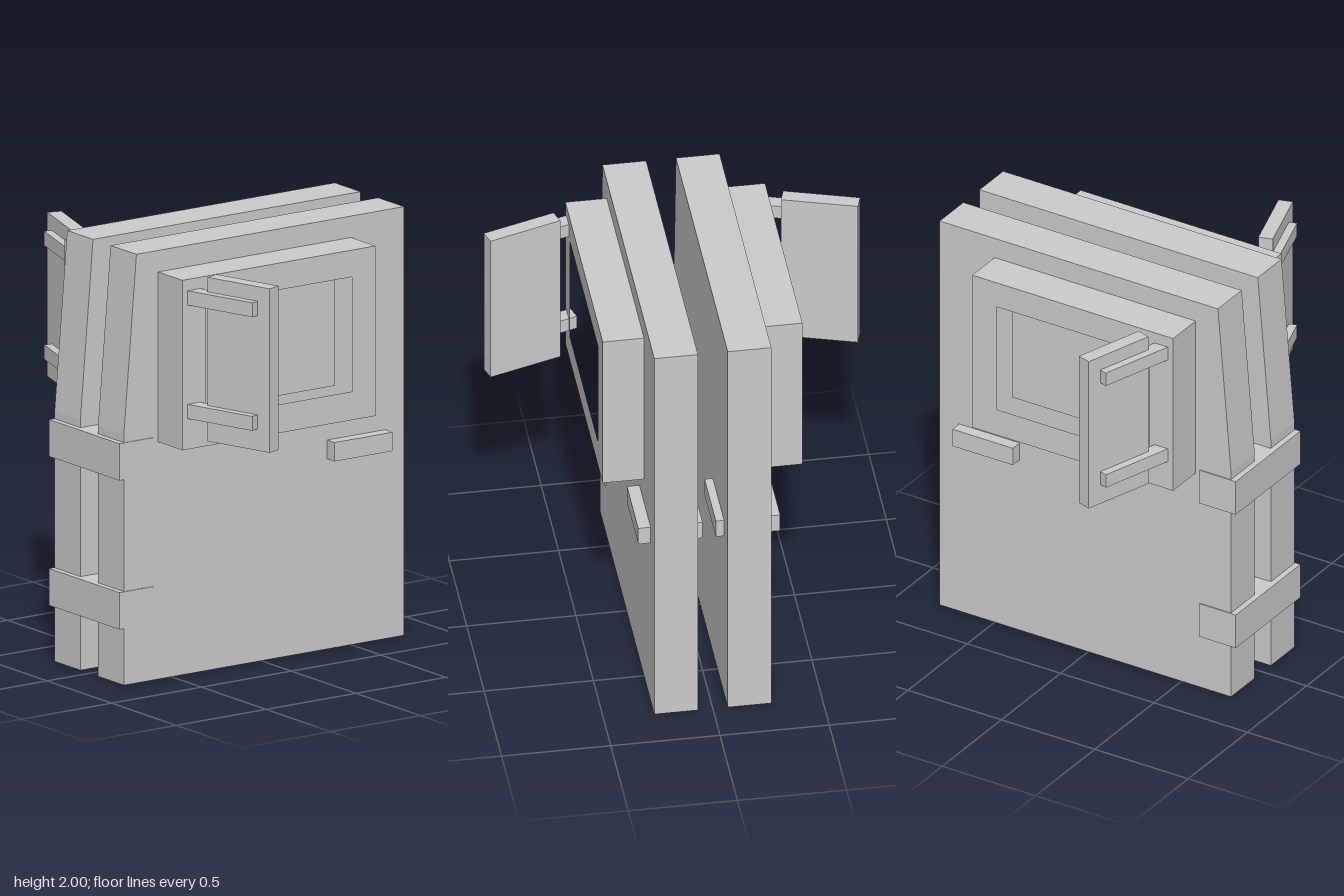
import * as THREE from 'three';

const material = new THREE.MeshStandardMaterial({ color: 0xcccccc, flatShading: true });

// Box given by its extents on each axis
function box(name, [x0, x1], [y0, y1], [z0, z1]) {
  const mesh = new THREE.Mesh(new THREE.BoxGeometry(x1 - x0, y1 - y0, z1 - z0), material);
  mesh.position.set((x0 + x1) / 2, (y0 + y1) / 2, (z0 + z1) / 2);
  mesh.name = name;
  return mesh;
}

// Side outline of [z, y] points, with an optional hole, extruded from xa to xb
function sidePlate(name, outline, xa, xb, hole) {
  const toPoints = (list) => list.map(([z, y]) => new THREE.Vector2(-z, y));
  const shape = new THREE.Shape(toPoints(outline));
  if (hole) shape.holes.push(new THREE.Path(toPoints(hole)));
  const geometry = new THREE.ExtrudeGeometry(shape, { depth: Math.abs(xb - xa), bevelEnabled: false });
  geometry.rotateY(Math.PI / 2).translate(Math.min(xa, xb), 0, 0);
  const mesh = new THREE.Mesh(geometry, material);
  mesh.name = name;
  return mesh;
}

const rect = (z0, z1, y0, y1) => [[z0, y0], [z0, y1], [z1, y1], [z1, y0]];

function createModel() {
  const model = new THREE.Group();
  model.name = 'doublePanelDoor';

  for (const side of [1, -1]) {
    const label = side > 0 ? 'left' : 'right';
    const span = (a, b) => (side > 0 ? [a, b] : [-b, -a]);
    const half = new THREE.Group();
    half.name = label + 'Door';

    // Main slab with the upper front edge leaning back
    half.add(sidePlate('slab',
      [[0.765, 0], [0.765, 1.17], [0.695, 2], [-0.795, 2], [-0.795, 0]], side * 0.068, side * 0.268));

    // Window box: a thick frame around a shallow back panel
    half.add(sidePlate('windowFrame', rect(0.575, -0.5, 1.107, 1.9),
      side * 0.268, side * 0.457, rect(0.445, -0.37, 1.24, 1.775)));
    half.add(box('windowPanel', span(0.26, 0.325), [1.24, 1.775], [-0.37, 0.445]));

    // Handle bar passing through the slab
    half.add(box('handle', span(0.03, 0.325), [0.887, 0.975], [-0.69, -0.367]));

    // Shutter swung open on two arms
    const shutter = new THREE.Group();
    shutter.name = 'shutter';
    shutter.position.set(side * 0.683, 0, 0.4);
    shutter.rotation.y = side * 0.304;
    shutter.add(box('shutterPanel', [-0.176, 0.176], [1.15, 1.915], [-0.034, 0.034]));
    for (const y of [1.25, 1.78]) {
      shutter.add(box('shutterArm', span(-0.28, 0.107), [y, y + 0.067], [0.005, 0.072]));
    }
    half.add(shutter);
    model.add(half);
  }

  // Hinge blocks joining the two slabs at the front edge
  for (const y of [0.265, 0.96]) {
    model.add(box('hingeBlock', [-0.273, 0.273], [y, y + 0.172], [0.6, 0.793]));
  }
  return model;
}

export { createModel };
